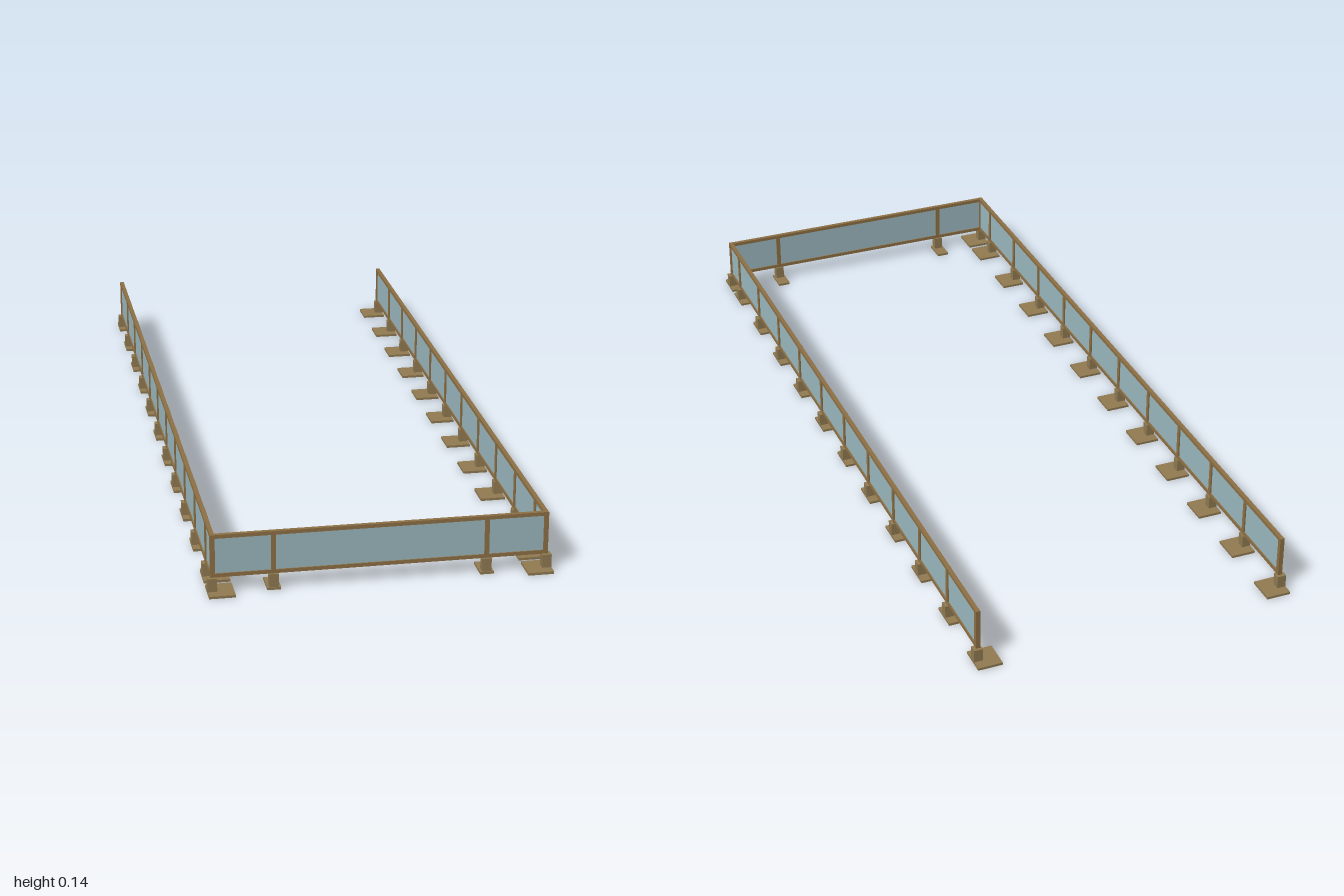
import * as THREE from 'three';

export function createModel() {
  const model = new THREE.Group();
  model.name = 'glassRailing';

  const material = (name, color) => {
    const m = new THREE.MeshStandardMaterial({ color });
    m.name = name;
    return m;
  };
  const frame = material('bronze frame', 0x8e7145);
  const base = material('bronze base', 0x917b52);
  const glass = material('pale blue glass', 0x9cbac0);

  const box = (name, mat, w, h, d, x, y, z) => {
    const mesh = new THREE.Mesh(new THREE.BoxGeometry(w, h, d), mat);
    mesh.name = name;
    mesh.position.set(x, y, z);
    model.add(mesh);
  };

  const X = 0.389, Z = 0.962;      // centre lines of the side and front runs
  const LOW = 0.038, TOP = 0.142;  // height range of the framed panels
  const RAIL = 0.009, POST = 0.011, LEG = 0.022, PLATE = 0.006;
  const MID = (LOW + TOP) / 2, H = TOP - LOW;

  // Side runs: glass, rails, posts and feet, mirrored left and right
  const stations = Array.from({ length: 11 }, (_, i) => -0.965 + i * 0.1842);
  stations.push(0.965);
  for (const s of [-1, 1]) {
    box('sideGlass', glass, 0.004, H - RAIL, Z * 2, s * X, MID, 0);
    for (const y of [LOW + RAIL / 2, TOP - RAIL / 2]) {
      box('sideRail', frame, 0.01, RAIL, Z * 2 + POST, s * X, y, 0);
    }
    for (const z of stations) {
      const postZ = THREE.MathUtils.clamp(z, -Z, Z);
      box('sidePost', frame, POST, H - 0.001, POST, s * X, MID, postZ);
      box('sideLeg', base, LEG, LOW, 0.02, s * 0.391, LOW / 2, z);
      box('sideFootPlate', base, 0.061, PLATE, 0.07, s * 0.3715, PLATE / 2, z);
    }
  }

  // Front run closing the open rectangle
  box('frontGlass', glass, X * 2, H - RAIL, 0.004, 0, MID, Z);
  for (const y of [LOW + RAIL / 2, TOP - RAIL / 2]) {
    box('frontRail', frame, X * 2, RAIL, 0.01, 0, y, Z);
  }
  for (const s of [-1, 1]) {
    box('frontPost', frame, POST, H - 0.001, POST, s * 0.249, MID, Z);
    box('frontLeg', base, LEG, LOW, 0.02, s * 0.249, LOW / 2, Z);
    box('frontFootPlate', base, 0.032, PLATE, 0.06, s * 0.249, PLATE / 2, 0.944);
  }

  return model;
}
